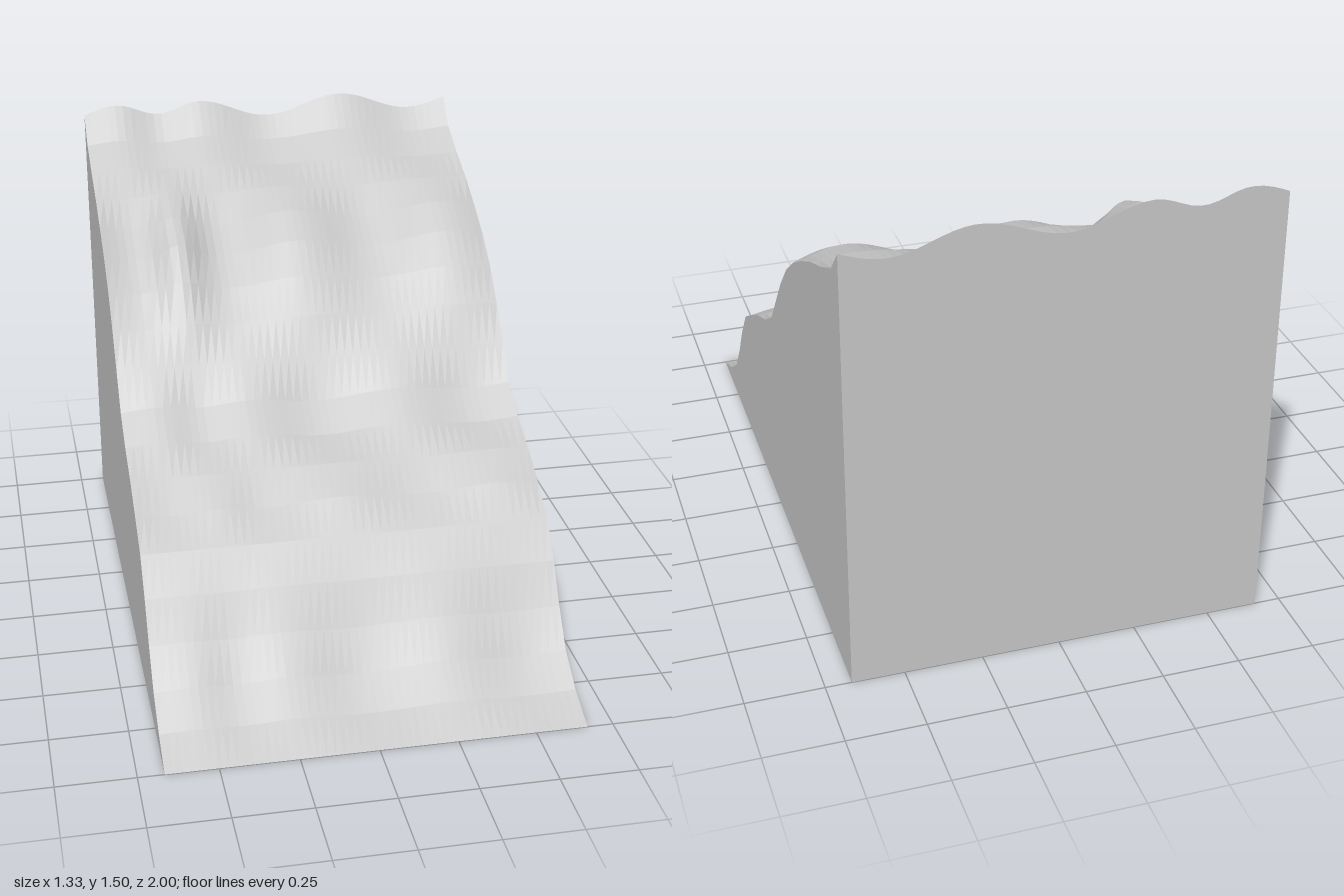
import * as THREE from 'three';

const HALF = 0.667, COLS = 48, ROWS = 18;

// Mean offset along the slope's normal, and strength of the cross ripple, for each row from front to back
const swell = [0, -0.038, -0.047, -0.01, 0.04, 0.075, 0.06, 0.038, 0, -0.012, 0.022, 0.055, 0.075, 0.073, 0.053, 0.025, -0.015, -0.045, -0.041];
const ripple = [0, 0.012, 0.017, 0.01, 0.004, 0, -0.016, -0.008, 0.02, 0.02, 0.005, -0.01, -0.022, -0.032, -0.032, -0.01, 0.015, 0.02, 0.041];
// Crests and troughs of the cross ripple: [x, height]
const knots = [[-0.79, -1], [-0.55, 1], [-0.4, -0.2], [-0.25, 1], [0, -1], [0.27, 1], [0.53, -1], [0.8, 1]];

function wave(x) {
  const i = Math.max(1, knots.findIndex(k => k[0] >= x));
  const [x0, h0] = knots[i - 1], [x1, h1] = knots[i];
  const t = (1 - Math.cos(Math.PI * (x - x0) / (x1 - x0))) / 2;
  return h0 + (h1 - h0) * t;
}

// Point on the rolling slope
function surface(x, row) {
  const t = row / ROWS;
  const knoll = 0.045 * Math.exp(-(((x + 0.42) / 0.07) ** 2) - ((row - 13) / 1.7) ** 2);
  const d = swell[row] + ripple[row] * wave(x) + knoll;
  const edge = row === 0 || row === ROWS;
  return [x, row === 0 ? 0 : 1.5 * t + 0.8 * d, 1 - 2 * t + (edge ? 0 : 0.6 * d)];
}

// Flat-shaded grid; the face looks along (i direction) x (j direction)
function sheet(name, nu, nv, point) {
  const pos = [];
  for (let j = 0; j < nv; j++) {
    for (let i = 0; i < nu; i++) {
      const a = point(i, j), b = point(i + 1, j), c = point(i + 1, j + 1), d = point(i, j + 1);
      pos.push(...a, ...b, ...c, ...a, ...c, ...d);
    }
  }
  const geo = new THREE.BufferGeometry();
  geo.setAttribute('position', new THREE.Float32BufferAttribute(pos, 3));
  geo.computeVertexNormals();
  const mesh = new THREE.Mesh(geo, new THREE.MeshStandardMaterial({ color: 0xcccccc, flatShading: true }));
  mesh.name = name;
  return mesh;
}

const column = i => -HALF + 2 * HALF * i / COLS;
// Drops a surface point to the ground for the lower edge of a wall
const wall = (p, top) => (top ? p : [p[0], 0, p[2]]);

export function createModel() {
  const group = new THREE.Group();
  group.name = 'hillside';
  group.add(
    sheet('slope', COLS, ROWS, (i, j) => surface(column(i), j)),
    sheet('leftWall', ROWS, 1, (i, j) => wall(surface(HALF, i), j)),
    sheet('rightWall', ROWS, 1, (i, j) => wall(surface(-HALF, ROWS - i), j)),
    sheet('backWall', COLS, 1, (i, j) => wall(surface(column(COLS - i), ROWS), j)),
    sheet('base', 1, 1, (i, j) => [(2 * i - 1) * HALF, 0, 2 * j - 1])
  );
  return group;
}
